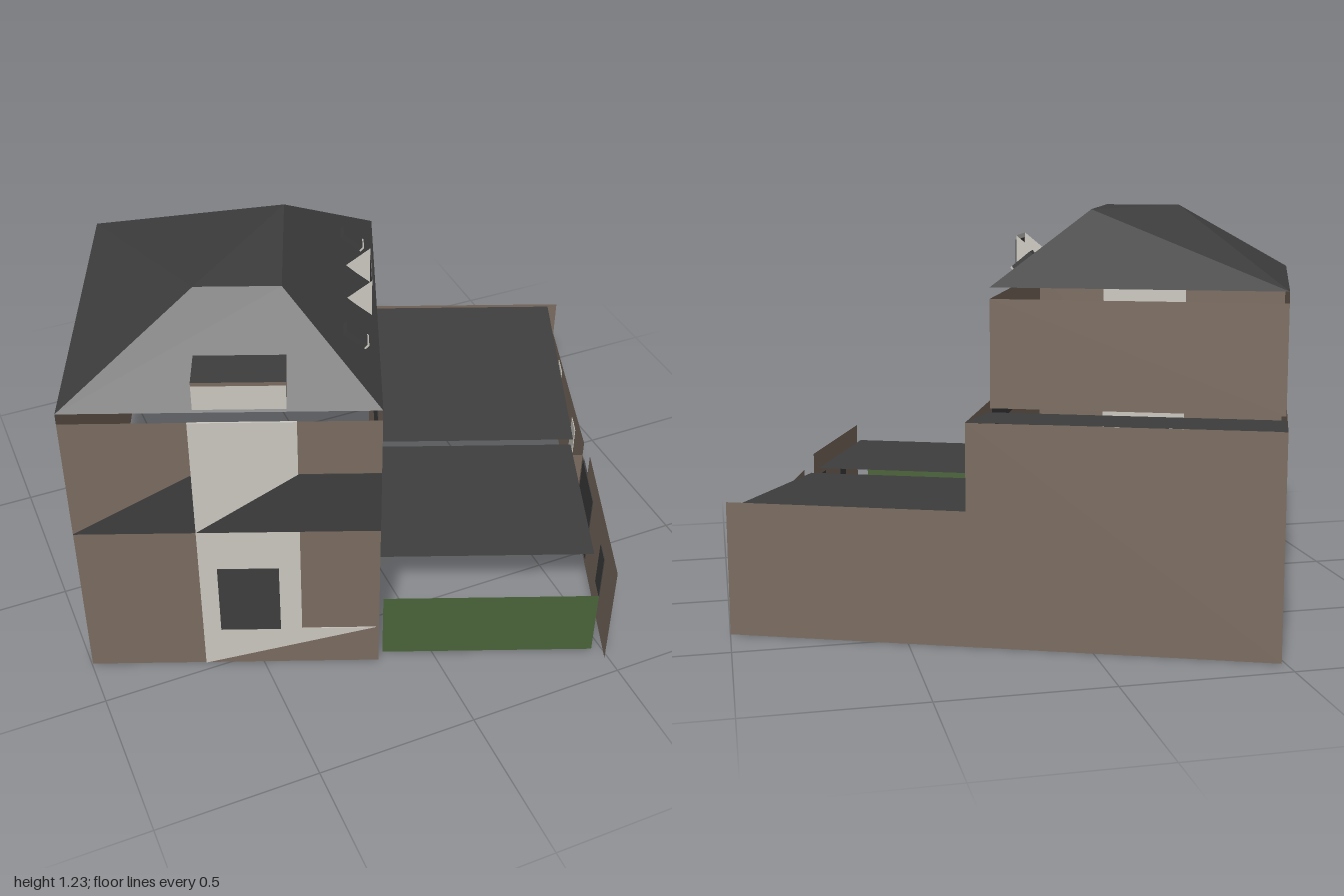
import * as THREE from 'three';

const mat = (name, color) => new THREE.MeshStandardMaterial({ name, color, side: THREE.DoubleSide });

export function createModel() {
  const brown = mat('brown wall', 0x7b6c60);
  const dark = mat('dark slate', 0x3e3e3e);
  const light = mat('pale render', 0xcbc8c0);
  const green = mat('green door', 0x4a6339);

  const model = new THREE.Group();
  model.name = 'house';
  // the plan is turned; local x runs along the front, local z towards it
  const house = new THREE.Group();
  house.name = 'turnedPlan';
  house.position.set(-0.63, 0, -0.58);
  house.rotation.y = -0.38;
  model.add(house);

  const add = (name, geometry, material) => {
    const mesh = new THREE.Mesh(geometry, material);
    mesh.name = name;
    house.add(mesh);
    return mesh;
  };
  // upright polygon along local x or z; a thickness makes it a plate seen on both sides
  const panel = (name, material, axis, at, pts, thick = 0) => {
    const shape = new THREE.Shape(pts.map(p => new THREE.Vector2(p[0], p[1])));
    const geo = thick
      ? new THREE.ExtrudeGeometry(shape, { depth: thick, bevelEnabled: false }).translate(0, 0, -thick / 2)
      : new THREE.ShapeGeometry(shape);
    if (axis === 'z') geo.rotateY(-Math.PI / 2).translate(at, 0, 0);
    else geo.translate(0, 0, at);
    return add(name, geo, material);
  };
  const rect = (a, b, y0, y1) => [[a, y0], [b, y0], [b, y1], [a, y1]];
  // flat-faced sheet from polygons given as corner loops
  const sheet = (name, material, faces) => {
    const pos = [];
    for (const f of faces)
      for (let i = 1; i < f.length - 1; i++) pos.push(...f[0], ...f[i], ...f[i + 1]);
    const geo = new THREE.BufferGeometry();
    geo.setAttribute('position', new THREE.Float32BufferAttribute(pos, 3));
    geo.computeVertexNormals();
    return add(name, geo, material);
  };

  const W = 0.893, D = 0.99, R = 1.603, B = -0.38, THIN = 0.005;

  // outer walls
  panel('frontWall', brown, 'x', D, rect(0, W, 0, 0.965));
  panel('leftWall', brown, 'z', 0, [[B, 0], [D, 0], [D, 1], [0, 1], [0, 0.655], [B, 0.655]]);
  panel('rightWall', brown, 'z', W, rect(0, D, 0, 0.965));
  panel('upperBackWall', brown, 'x', 0, rect(0, W, 0.63, 0.965));
  panel('backWall', brown, 'x', B, [[0, 0], [R, 0], [R, 0.4], [W, 0.4], [W, 0.655], [0, 0.655]]);
  panel('wingSideWall', brown, 'z', W, rect(B, 0, 0.34, 0.655));
  panel('annexSideWall', brown, 'z', R,
    [[B, 0], [0.997, 0], [0.997, 0.37], [0.455, 0.37], [0.455, 0.285], [0.35, 0.285], [0.35, 0.337], [B, 0.265]]);
  panel('annexPartition', brown, 'x', 0.35, rect(W, R, 0, 0.285));

  // front wall painting
  const fl = 0.355, fr = 0.657;
  panel('lowerPaleStrip', light, 'x', D, [[fl, 0], [0.883, 0.15], [fr, 0.15], [fr, 0.555], [fl, 0.555]], THIN);
  panel('upperPaleStrip', light, 'x', D, [[fl, 0.555], [fr, 0.775], [fr, 0.965], [fl, 0.965]], THIN);
  panel('leftDarkBand', dark, 'x', D, [[0, 0.555], [fl, 0.555], [fl, 0.775]], THIN);
  panel('middleDarkBand', dark, 'x', D, [[fl, 0.555], [fr, 0.555], [fr, 0.775]], THIN);
  panel('rightDarkBand', dark, 'x', D, rect(fr, W, 0.555, 0.775), THIN);
  panel('frontWindow', dark, 'x', D, rect(0.409, 0.592, 0.15, 0.408), 0.009);

  // side windows
  panel('sideWindowBand', dark, 'z', W,
    [[0.02, 0.515], [0.122, 0.515], [0.122, 0.56], [0.834, 0.56], [0.834, 0.515], [0.925, 0.515], [0.925, 0.765], [0.02, 0.765]], THIN);
  panel('wingDoor', dark, 'z', W, rect(-0.097, -0.022, 0.345, 0.545), THIN);
  panel('wingWindow', dark, 'z', W, rect(-0.275, -0.151, 0.46, 0.62), THIN);

  // annex openings
  panel('annexNarrowWindow', dark, 'z', R, rect(0.76, 0.83, 0.1, 0.265), THIN);
  panel('annexDoor', dark, 'z', R, rect(0.373, 0.583, 0.025, 0.285), THIN);
  panel('annexPaleWindow', light, 'z', R, rect(0.125, 0.195, 0.085, 0.265), THIN);
  panel('splitWindowPale', light, 'z', R, [[-0.139, 0.05], [-0.139, 0.265], [-0.214, 0.265]].reverse(), THIN);
  panel('splitWindowDark', dark, 'z', R, [[-0.139, 0.04], [-0.214, 0.04], [-0.214, 0.265]], THIN);
  panel('garageDoor', green, 'x', 0.985, rect(0.905, 1.56, 0.03, 0.265));

  // main hipped roof
  const e = 1.0, t = 1.225;
  const fL = [0, e, D], fR = [W, e, D], bR = [W, e, 0], bL = [0, e, 0];
  const p1 = [0.37, t, 0.712], p2 = [0.618, t, 0.712], p3 = [0.618, t, 0.27];
  sheet('mainRoof', dark, [
    [fL, fR, p2, p1], [fR, bR, p3, p2], [bR, bL, p3], [bL, fL, p1], [bL, p1, p3], [p1, p2, p3],
  ]);

  // lower roofs
  const slab = (name, x0, x1, z0, z1, yBack, yFront) =>
    sheet(name, dark, [[[x0, yBack, z0], [x0, yFront, z1], [x1, yFront, z1], [x1, yBack, z0]]]);
  slab('wingRoof', 0, W, -0.377, -0.025, 0.655, 0.622);
  slab('annexRearRoof', 0.898, 1.57, -0.377, 0.325, 0.392, 0.333);
  slab('annexFrontRoof', 0.898, 1.555, 0.362, 0.878, 0.342, 0.337);

  // front dormer
  panel('frontDormerFace', light, 'x', D, rect(0.373, 0.63, 1.01, 1.09));
  panel('frontDormerLintel', brown, 'x', D, rect(0.373, 0.63, 1.09, 1.102));
  for (const x of [0.373, 0.63])
    panel('frontDormerCheek', brown, 'z', x, [[D, 1.0], [D, 1.102], [0.867, 1.102]]);
  slab('frontDormerRoof', 0.373, 0.63, 0.867, D, 1.102, 1.102);

  // side dormer
  panel('sideDormerFace', light, 'z', 0.876, rect(0.38, 0.555, 1.01, 1.135));
  panel('sideDormerWindow', dark, 'z', 0.878, rect(0.392, 0.543, 1.032, 1.12), THIN);
  for (const z of [0.38, 0.555])
    panel('sideDormerCheek', light, 'x', z, [[0.876, 1.01], [0.876, 1.135], [0.803, 1.076]]);

  // skylights lying on the side slope
  for (const z of [0.213, 0.727]) {
    const skylight = new THREE.Group();
    skylight.name = 'skylight';
    skylight.position.set(0.822, 1.066, z);
    skylight.rotation.z = -Math.atan2(t - e, W - 0.618);
    const pane = new THREE.Mesh(new THREE.BoxGeometry(0.075, 0.02, 0.052), dark);
    pane.name = 'skylightPane';
    const sill = new THREE.Mesh(new THREE.BoxGeometry(0.006, 0.02, 0.052), light);
    sill.name = 'skylightSill';
    sill.position.x = 0.0405;
    skylight.add(pane, sill);
    house.add(skylight);
  }
  return model;
}
